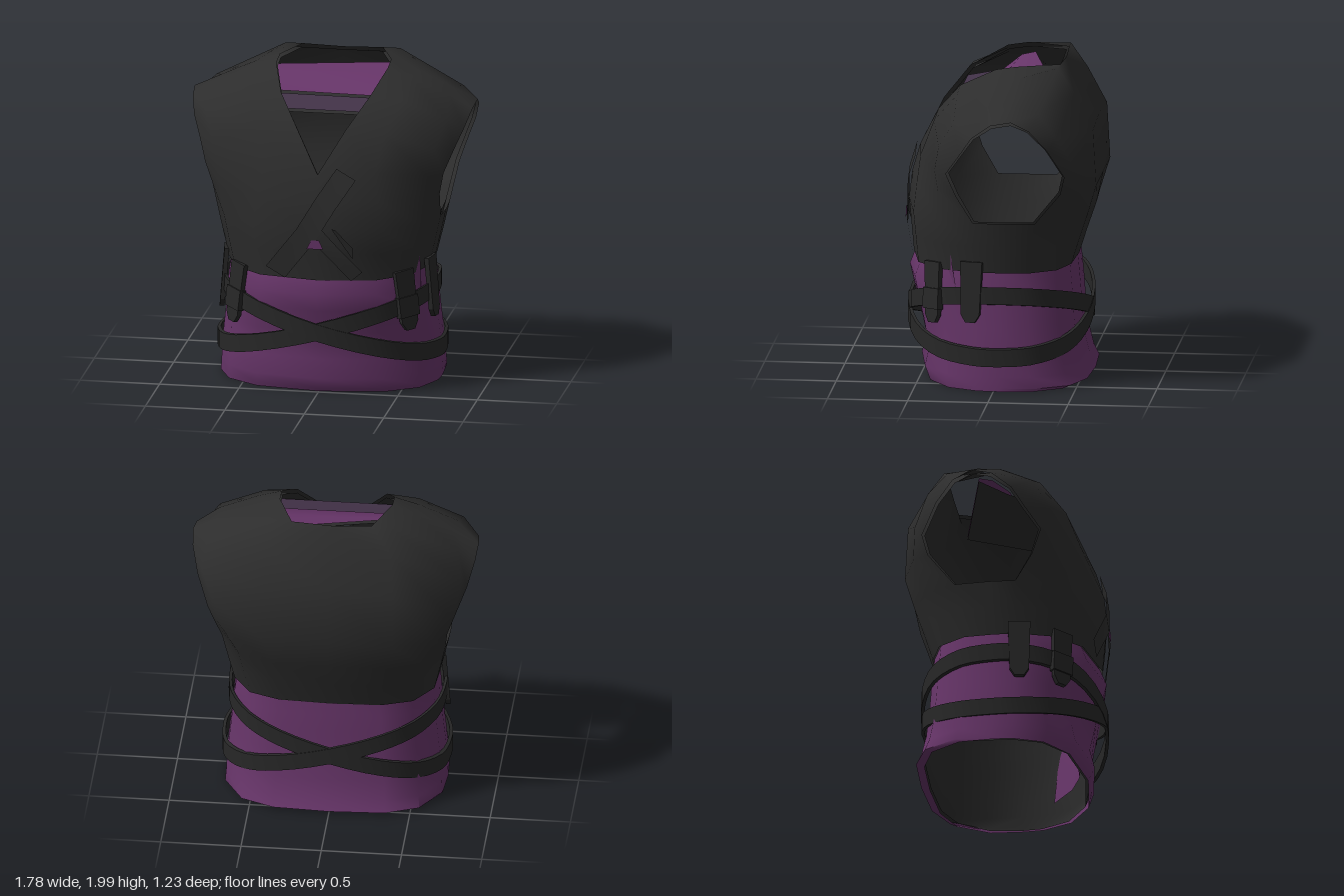
import * as THREE from 'three';
import { mergeGeometries, mergeVertices, toCreasedNormals } from 'three/addons/utils/BufferGeometryUtils.js';

const mat = (name, color) => {
  const m = new THREE.MeshStandardMaterial({ color, side: THREE.DoubleSide });
  m.name = name;
  return m;
};

// Surface through rows of [x, y, z] points
function grid(rows) {
  const n = rows[0].length, index = [];
  for (let r = 0; r < rows.length - 1; r++)
    for (let c = 0; c < n - 1; c++) {
      const a = r * n + c, d = a + n;
      index.push(a, d, d + 1, a, d + 1, a + 1);
    }
  const g = new THREE.BufferGeometry();
  g.setAttribute('position', new THREE.Float32BufferAttribute(rows.flat(2), 3));
  g.setIndex(index);
  return g;
}

// Copy of a surface moved inwards, for the lining
function inset(geo, depth) {
  const g = mergeVertices(geo, 0.001);
  g.computeVertexNormals();
  const p = g.attributes.position, n = g.attributes.normal;
  for (let i = 0; i < p.count; i++)
    p.setXYZ(i, p.getX(i) - n.getX(i) * depth, p.getY(i) - n.getY(i) * depth,
      p.getZ(i) - n.getZ(i) * depth);
  return g;
}

// Half outlines from the back, round the left side, to the front
const HALF = [[0, -1], [0.5, -0.97], [0.8, -0.82], [0.98, -0.45], [1, -0.05],
  [0.99, 0.21], [0.87, 0.6], [0.58, 0.88], [0, 1]];
const BELT_HALF = [[0, -1], [0.46, -0.93], [0.76, -0.75], [0.95, -0.42], [1, -0.05],
  [0.985, 0.21], [0.85, 0.58], [0.54, 0.86], [0, 1]];
const whole = (half) => [...half, ...half.slice(1, -1).reverse().map(([x, z]) => [-x, z])];
const place = (pts, y, hx, zf, zb) =>
  pts.map(([x, z]) => [x * hx, y, z > 0 ? z * zf : z * zb]);
const ring = (y, hx, zf, zb) => place([...whole(HALF), HALF[0]], y, hx, zf, zb);

export function createModel() {
  const group = new THREE.Group();
  const black = mat('black cloth', 0x2d2d2d);
  const dark = mat('dark strap', 0x272727);
  const purple = mat('purple cloth', 0x673569);
  const muted = mat('muted purple cloth', 0x423248);
  const add = (name, geo, material, parent = group) => {
    const m = new THREE.Mesh(geo, material);
    m.name = name;
    parent.add(m);
    return m;
  };
  const creased = (g, angle = 1) => toCreasedNormals(g, angle);

  // Waist wrap with a flared hem, and its dark lining
  const waist = grid([[0.01, 0.69, 0.48, 0.51], [0.03, 0.69, 0.49, 0.565], [0.1, 0.685, 0.52, 0.53],
    [0.22, 0.68, 0.49, 0.5], [0.4, 0.66, 0.53, 0.48], [0.55, 0.645, 0.57, 0.47],
    [0.66, 0.635, 0.595, 0.46], [0.76, 0.62, 0.555, 0.45]].map((r) => ring(...r)));
  add('waistWrap', creased(waist), purple);
  add('waistLining', creased(inset(waist, 0.02)), black);

  // Vest: strips running from the back, over the shoulder, to the front;
  // each row goes from the middle or neck edge out to the armhole
  const low = place(HALF, 1.08, 0.71, 0.6, 0.57);
  const strip = [
    low.slice(0, 4),
    [[0, 1.27, -0.61], [0.4, 1.27, -0.61], [0.66, 1.28, -0.52], [0.725, 1.28, -0.42]],
    [[0, 1.64, -0.585], [0.4, 1.62, -0.59], [0.73, 1.47, -0.5], [0.765, 1.4, -0.45]],
    [[0, 1.99, -0.38], [0.38, 1.85, -0.47], [0.81, 1.65, -0.41], [0.84, 1.58, -0.35]],
    [[0.25, 2, -0.37], [0.36, 2, -0.37], [0.78, 1.8, -0.29], [0.88, 1.71, -0.24]],
    [[0.35, 2, -0.11], [0.5, 1.95, -0.11], [0.72, 1.85, -0.11], [0.89, 1.765, -0.13]],
    [[0.35, 1.98, 0.02], [0.5, 1.93, 0.03], [0.74, 1.83, 0.03], [0.88, 1.74, 0]],
    [[0.28, 1.86, 0.25], [0.48, 1.84, 0.25], [0.76, 1.73, 0.24], [0.85, 1.65, 0.12]],
    [[0.155, 1.68, 0.4], [0.4, 1.66, 0.4], [0.7, 1.56, 0.34], [0.8, 1.53, 0.2]],
    [[0, 1.42, 0.53], [0.35, 1.43, 0.49], [0.66, 1.4, 0.37], [0.75, 1.4, 0.29]],
    [[0, 1.25, 0.58], [0.38, 1.26, 0.51], [0.64, 1.26, 0.35], [0.715, 1.25, 0.23]],
    low.slice(5).reverse(),
  ];
  const mirrored = strip.map((row) => row.map(([x, y, z]) => [-x, y, z]).reverse());
  const band = grid([ring(0.75, 0.635, 0.57, 0.46), ring(0.92, 0.675, 0.585, 0.515),
    ring(1.08, 0.71, 0.6, 0.57)]);
  const vest = mergeGeometries([band, grid(strip), grid(mirrored)]);
  add('vest', creased(vest, 1.2), black);
  add('vestLining', creased(inset(vest, 0.025), 1.2), black);

  // Crossed lapel ends on the chest: centre points [x, y, z] with a half width
  const lapel = (name, pts, dx, dy) => add(name, creased(grid([-1, 1].map((s) =>
    pts.map(([x, y, z]) => [x + s * dx, y + s * dy, z])))), black);
  lapel('upperLapel', [[0.18, 1.43, 0.535], [0.06, 1.25, 0.595], [-0.06, 1.05, 0.612],
    [-0.26, 0.79, 0.56]], 0.06, -0.035);
  lapel('lowerLapel', [[-0.02, 1.08, 0.605], [0.1, 0.95, 0.6], [0.25, 0.78, 0.55]], 0.035, 0.03);

  // Thin flat patches on the chest
  const patch = (name, rows, material) => add(name, creased(grid(rows)), material);
  patch('chestGap', [[[-0.055, 0.963, 0.616], [0.05, 0.963, 0.616]],
    [[-0.025, 1.02, 0.617], [0.025, 1.02, 0.617]]], purple);
  patch('chestFold', [[[0.1, 1.09, 0.598], [0.12, 1.09, 0.598]],
    [[0.23, 0.9, 0.582], [0.23, 0.97, 0.582]]], dark);

  // Purple under-panel inside the front, sloping back towards the hem
  const panel = [[1.02, 0.53], [0.75, 0.49], [0.45, 0.44], [0.15, 0.41]].map(([y, z]) =>
    [[0.6, -0.23], [0.42, -0.09], [0.25, -0.02], [0, 0], [-0.25, -0.02]].map(([x, dz]) =>
      [x, y, z + dz]));
  add('frontUnderPanel', creased(grid(panel)), purple);

  // Folded cloth inside, under the neck opening, with a black underside
  const cloth = (rows, drop) => creased(grid(rows.map(([z, y, skew]) =>
    [-0.42, 0.42].map((x) => [x, y - drop, z - x * skew]))));
  const backEdge = [-0.24, 1.925, 0.23], fold = [0.07, 1.815, -0.04], frontEdge = [0.28, 1.765, 0];
  add('innerCloth', cloth([backEdge, [-0.1, 1.905, 0.1], fold], 0), purple);
  add('innerClothFront', cloth([[0.09, 1.805, -0.03], frontEdge], 0), muted);
  add('innerClothUnderside', cloth([backEdge, fold, frontEdge], 0.02), black);

  // Two tilted belts crossing at the front and back, narrower where they ride high
  const loop = (hx, zf, zb) => new THREE.CatmullRomCurve3(
    place(whole(BELT_HALF), 0, hx, zf, zb).map((p) => new THREE.Vector3(...p)), true).getPoints(48);
  const outer = loop(0.692, 0.6, 0.55), inner = loop(0.672, 0.58, 0.53);
  for (const side of [1, -1]) {
    const k = side > 0 ? 1 : 1.005;
    const edge = (pts, dy) => pts.map((p) =>
      [p.x * k * (1 - side * 0.04 * p.x), 0.42 + dy + side * 0.28 * p.x, p.z * k]);
    const rows = [edge(outer, -0.055), edge(outer, 0.055), edge(inner, 0.055),
      edge(inner, -0.055), edge(outer, -0.055)];
    add(side > 0 ? 'beltRisingLeft' : 'beltRisingRight', creased(grid(rows)), dark);
  }

  // Hanging tabs with clipped lower ends, two on each side
  const tabShape = new THREE.Shape([[-0.07, 0.19], [0.07, 0.19], [0.06, -0.14],
    [0.03, -0.19], [-0.03, -0.19], [-0.06, -0.14]].map((p) => new THREE.Vector2(...p)));
  const tabGeo = new THREE.ExtrudeGeometry(tabShape, { depth: 0.03, bevelEnabled: false });
  for (const s of [1, -1]) {
    const tab = (name, x, y, z, turn, tilt) => {
      const g = new THREE.Group();
      g.name = name;
      g.position.set(s * x, y, z);
      g.rotation.set(-0.08, s * turn, s * tilt, 'YXZ');
      group.add(g);
      add('strap', tabGeo, dark, g);
      return g;
    };
    const front = tab('frontTab', 0.525, 0.6, 0.38, 0.8, 0.08);
    const buckle = add('buckle', new THREE.BoxGeometry(0.145, 0.13, 0.045), dark, front);
    buckle.position.set(0, -0.04, 0.017);
    tab('sideTab', 0.64, 0.63, 0.14, 1.4, 0);
  }
  return group;
}
